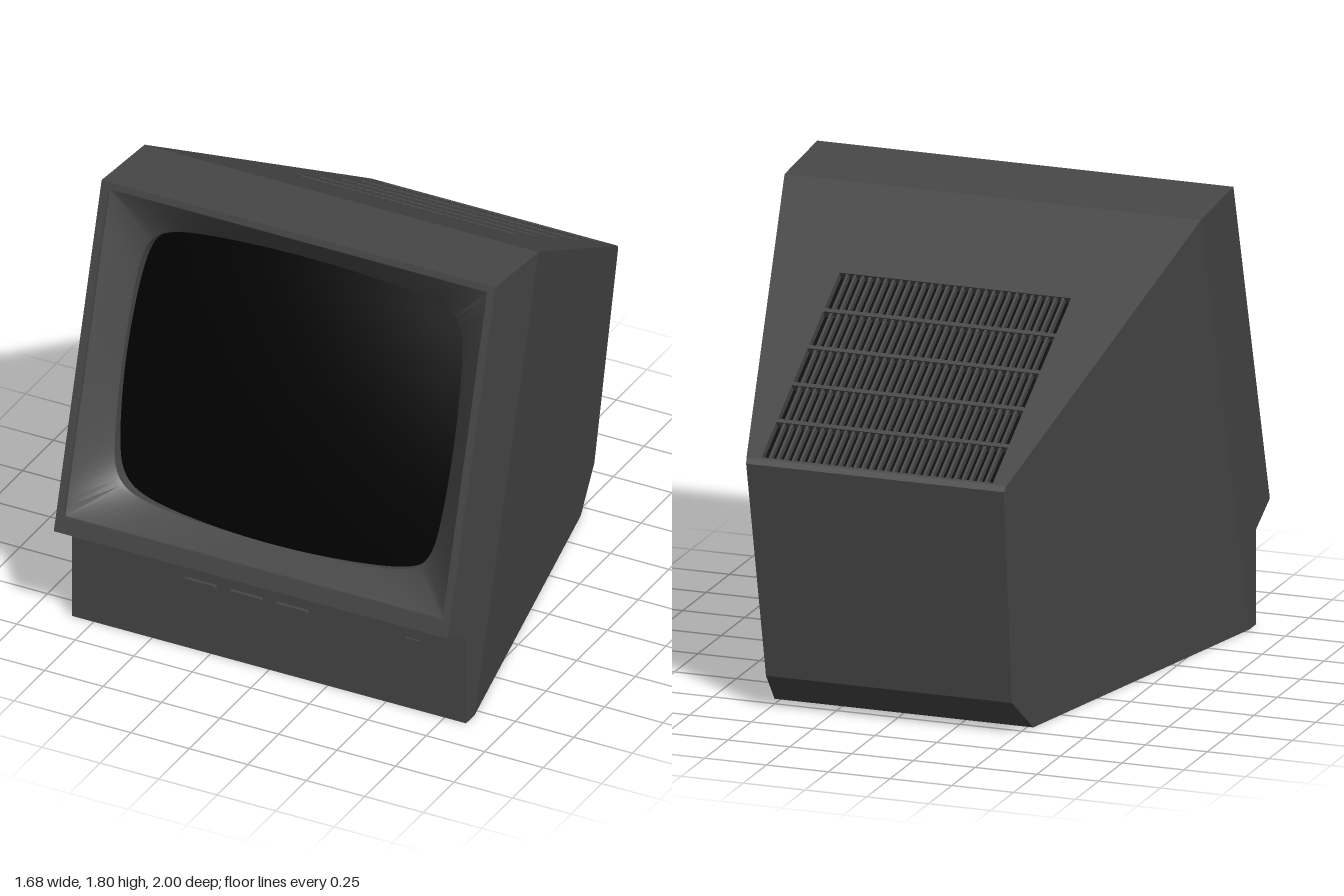
import * as THREE from 'three';
import { mergeGeometries, toCreasedNormals } from 'three/addons/utils/BufferGeometryUtils.js';

const casing = new THREE.MeshStandardMaterial({ color: 0x474747 });
casing.name = 'charcoal casing';
const black = new THREE.MeshStandardMaterial({ color: 0x010101 });
black.name = 'black glass';

const V = (x, y, z) => new THREE.Vector3(x, y, z);

function fromTriangles(points, crease) {
  const g = new THREE.BufferGeometry().setFromPoints(points);
  g.computeVertexNormals();
  return toCreasedNormals(g, crease);
}

// Joins closed loops of equal length, outermost first, counterclockwise from the front
function loft(rings, crease) {
  const pts = [];
  for (let r = 0; r + 1 < rings.length; r++) {
    const A = rings[r], B = rings[r + 1], n = A.length;
    for (let i = 0; i < n; i++) {
      const j = (i + 1) % n;
      pts.push(A[i], A[j], B[j], A[i], B[j], B[i]);
    }
  }
  return fromTriangles(pts, crease);
}

function mesh(name, geometry, material, parent) {
  const m = new THREE.Mesh(geometry, material);
  m.name = name;
  parent.add(m);
  return m;
}

function box(w, h, d, x, y, z) {
  return new THREE.BoxGeometry(w, h, d).translate(x, y, z);
}

// Side profile as [z, y]
const HALF = 0.842;
const PANEL_LOW = [1.0, 0.456], PANEL_TOP = [0.61, 1.802];
const CREST = [0.26, 1.77], SLOPE_END = [-0.985, 1.039], CREASE_LOW = [0.78, 0];
const BACK = [SLOPE_END, [-1, 1.02], [-0.85, 0.14], [-0.69, 0], CREASE_LOW];
const FRONT = [CREASE_LOW, [0.85, 0], [0.85, 0.375], PANEL_LOW];

// Half width: full in front of the leaning crease, tapering behind it
function halfWidth([z, y]) {
  const creaseZ = CREST[0] + (CREST[1] - y) * (CREASE_LOW[0] - CREST[0]) / CREST[1];
  return HALF - 0.2167 * Math.max(0, creaseZ - z);
}
const at = (p, side) => V(side * halfWidth(p), p[1], p[0]);

function buildShell(parent) {
  const pts = [];
  // Strips across the width, leaving out the screen panel and the vented slope
  for (const run of [BACK, FRONT, [PANEL_TOP, CREST]]) {
    for (let i = 0; i + 1 < run.length; i++) {
      const a = run[i], b = run[i + 1];
      pts.push(at(a, -1), at(a, 1), at(b, 1), at(a, -1), at(b, 1), at(b, -1));
    }
  }
  // Flat side walls, mirrored
  for (const outline of [[...FRONT, PANEL_TOP, CREST], [CREST, ...BACK]]) {
    const flat = outline.map(([z, y]) => new THREE.Vector2(z, y));
    for (const face of THREE.ShapeUtils.triangulateShape(flat, [])) {
      for (const side of [1, -1]) {
        const t = face.map((k) => at(outline[k], side));
        const nx = t[1].clone().sub(t[0]).cross(t[2].clone().sub(t[0])).x;
        if (nx * side < 0) t.reverse();
        pts.push(...t);
      }
    }
  }
  mesh('casing', fromTriangles(pts, 0.02), casing, parent);
}

// Evenly sampled unit square, counterclockwise
const SIDE = 36;
const square = [];
for (let s = 0; s < 4; s++) {
  for (let i = 0; i < SIDE; i++) {
    const t = -1 + 2 * i / SIDE;
    square.push([[t, -1], [1, t], [-t, 1], [-1, -t]][s]);
  }
}
const rectRing = (hw, cy, hh, z) => square.map(([a, b]) => V(a * hw, cy + b * hh, z));

// Barrel-sided picture-tube outline with round corners, scaled about its centre
function tubeRing(scale, depth) {
  return square.map(([a, b]) => {
    const k = 1 / Math.pow(Math.abs(a) ** 10 + Math.abs(b) ** 10, 0.1);
    const u = a * k, v = b * k;
    const x = scale * u * 0.707 * (1 - 0.045 * v * v);
    const y = scale * v * 0.57 * (1 - 0.08 * u * u);
    return V(x, 0.711 + y, depth(x, y));
  });
}

function buildScreen(parent) {
  const panel = new THREE.Group();
  panel.name = 'screenPanel';
  const dz = PANEL_LOW[0] - PANEL_TOP[0], dy = PANEL_TOP[1] - PANEL_LOW[1];
  const height = Math.hypot(dz, dy);
  panel.position.set(0, PANEL_LOW[1], PANEL_LOW[0]);
  panel.rotation.x = -Math.atan2(dz, dy);
  parent.add(panel);

  // Outer lip, small step, sloping surround and inner wall
  mesh('bezel', loft([
    rectRing(HALF, height / 2, height / 2, 0),
    rectRing(0.81, 0.72, 0.654, 0),
    rectRing(0.81, 0.72, 0.654, -0.015),
    tubeRing(1.015, () => -0.103),
    tubeRing(1, () => -0.114),
    tubeRing(1, () => -0.23),
  ], 0.45), casing, panel);

  // Bulging glass
  const dome = (x, y) => -0.115 + 0.17 * (0.57 * 0.57 - x * x - y * y);
  const scales = [1.005, 0.9, 0.78, 0.65, 0.5, 0.35, 0.2, 0.08, 0];
  mesh('screenGlass', loft(scales.map((s) => tubeRing(s, dome)), 1), black, panel);
}

function buildVent(parent) {
  const vent = new THREE.Group();
  vent.name = 'ventedSlope';
  const dz = SLOPE_END[0] - CREST[0], dy = SLOPE_END[1] - CREST[1];
  const length = Math.hypot(dz, dy);
  vent.position.set(0, CREST[1], CREST[0]);
  vent.rotation.x = Math.atan2(dz, dy);
  parent.add(vent);

  const W = 0.468, Y0 = 0.464, Y1 = 1.433, DEPTH = 0.03;
  const we = halfWidth(SLOPE_END);
  const opening = (z) => [V(-W, Y0, z), V(W, Y0, z), V(W, Y1, z), V(-W, Y1, z)];
  mesh('slope', loft([
    [V(-HALF, 0, 0), V(HALF, 0, 0), V(we, length, 0), V(-we, length, 0)],
    opening(0), opening(-DEPTH),
  ], 0.02), casing, vent);

  const floor = new THREE.PlaneGeometry(2 * W, Y1 - Y0).translate(0, (Y0 + Y1) / 2, -DEPTH);
  mesh('ventFloor', floor, black, vent);

  // Fine slats running down the slope, crossed by four ribs
  const bars = [];
  const slats = 30, rows = 5;
  for (let i = 1; i < slats; i++) {
    bars.push(box(0.01, Y1 - Y0, 0.024, -W + 2 * W * i / slats, (Y0 + Y1) / 2, -0.016));
  }
  for (let i = 1; i < rows; i++) {
    bars.push(box(2 * W, 0.018, 0.03, 0, Y0 + (Y1 - Y0) * i / rows, -0.015));
  }
  mesh('ventGrille', mergeGeometries(bars), casing, vent);
}

function buildButtons(parent) {
  // Three wide keys with softened corners, and one small key
  const shape = new THREE.Shape();
  shape.moveTo(-0.06, -0.014);
  shape.lineTo(0.06, -0.014);
  shape.quadraticCurveTo(0.07, -0.014, 0.07, -0.006);
  shape.lineTo(0.07, 0.006);
  shape.quadraticCurveTo(0.07, 0.014, 0.06, 0.014);
  shape.lineTo(-0.06, 0.014);
  shape.quadraticCurveTo(-0.07, 0.014, -0.07, 0.006);
  shape.lineTo(-0.07, -0.006);
  shape.quadraticCurveTo(-0.07, -0.014, -0.06, -0.014);
  const key = new THREE.ExtrudeGeometry(shape, { depth: 0.015, bevelEnabled: false, curveSegments: 5 });
  for (const x of [-0.293, -0.097, 0.1]) {
    mesh('controlKey', key, casing, parent).position.set(x, 0.298, 0.85);
  }
  mesh('powerKey', box(0.055, 0.022, 0.012, 0.615, 0.3, 0.852), casing, parent);
}

export function createModel() {
  const model = new THREE.Group();
  model.name = 'monitor';
  buildShell(model);
  buildScreen(model);
  buildVent(model);
  buildButtons(model);
  return model;
}
